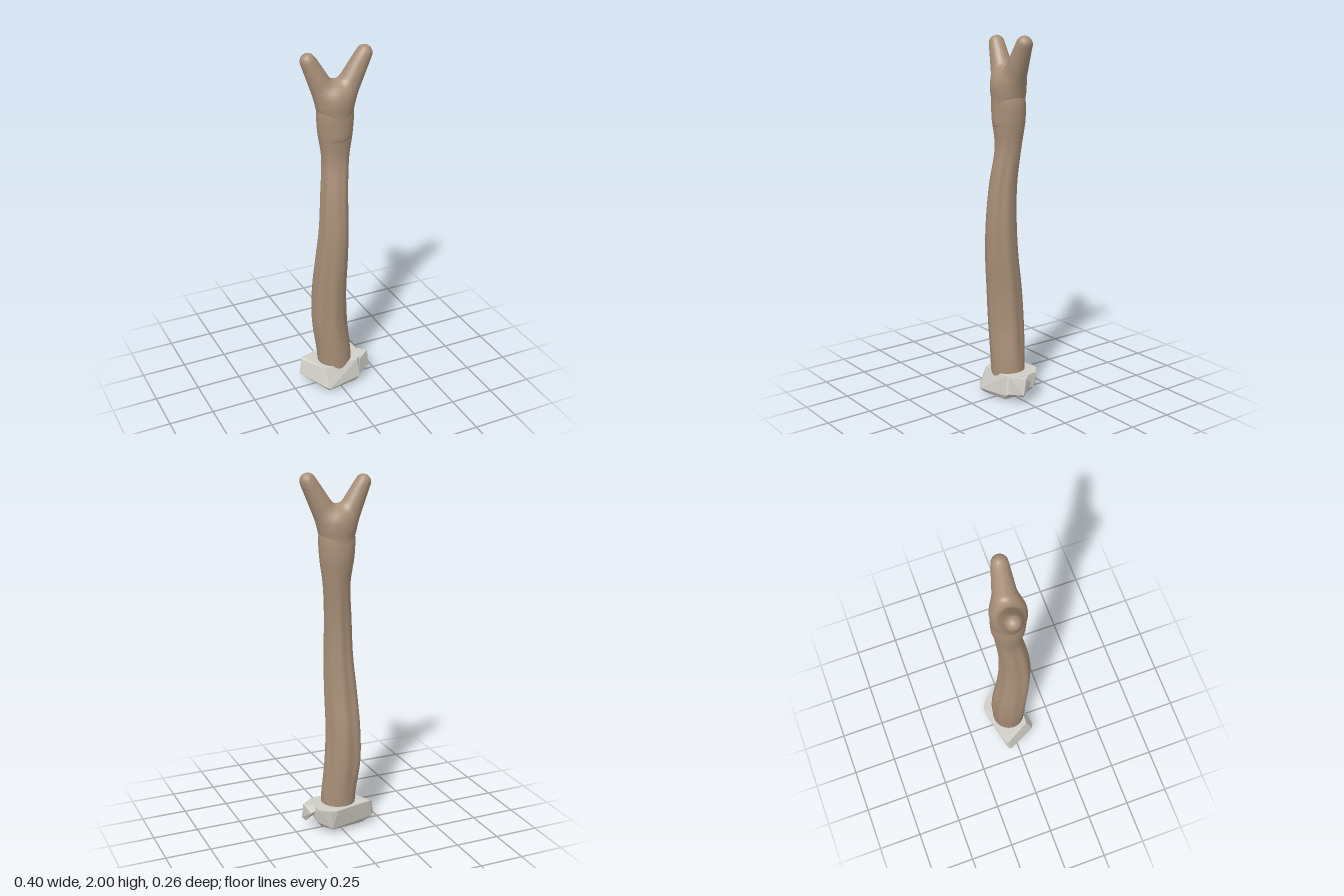
import * as THREE from 'three';
import { mergeVertices } from 'three/addons/utils/BufferGeometryUtils.js';
import { ConvexGeometry } from 'three/addons/geometries/ConvexGeometry.js';

const V = (x, y, z) => new THREE.Vector3(x, y, z);

// Trunk outline: y, min x, max x, min z, max z
const SECTIONS = [
  [0.08, -0.095, 0.092, -0.094, 0.092],
  [0.2, -0.105, 0.09, -0.095, 0.094],
  [0.4, -0.132, 0.07, -0.108, 0.094],
  [0.6, -0.132, 0.06, -0.1, 0.102],
  [0.8, -0.12, 0.06, -0.072, 0.115],
  [1.0, -0.1, 0.06, -0.055, 0.119],
  [1.2, -0.087, 0.061, -0.054, 0.102],
  [1.4, -0.071, 0.077, -0.069, 0.074],
  [1.56, -0.092, 0.097, -0.088, 0.086],
  [1.68, -0.095, 0.098, -0.082, 0.086],
  [1.74, -0.06, 0.06, -0.06, 0.06],
];

// Lofted trunk with long bark folds that twist slightly and fade at both ends
function trunkGeometry() {
  const centre = new THREE.CatmullRomCurve3(
    SECTIONS.map(([y, a, b, c, d]) => V((a + b) / 2, y, (c + d) / 2)), false, 'catmullrom', 0.5);
  const radius = new THREE.CatmullRomCurve3(
    SECTIONS.map(([y, a, b, c, d]) => V((b - a) / 2, y, (d - c) / 2)), false, 'catmullrom', 0.5);
  const rows = 80, cols = 72, pos = [], idx = [];
  for (let j = 0; j <= rows; j++) {
    const p = centre.getPoint(j / rows), r = radius.getPoint(j / rows);
    const fade = THREE.MathUtils.smoothstep(p.y, 0.12, 0.4) * (1 - THREE.MathUtils.smoothstep(p.y, 1.25, 1.55));
    for (let i = 0; i < cols; i++) {
      const a = i / cols * Math.PI * 2;
      const fold = Math.sin(5 * a + 1.6 * p.y) * 0.6 + Math.sin(8 * a - 1.1 * p.y + 1) * 0.4;
      const k = 1 + fade * 0.055 * (fold - 0.35);
      pos.push(p.x + r.x * k * Math.cos(a), p.y, p.z + r.z * k * Math.sin(a));
    }
  }
  for (let j = 0; j < rows; j++) for (let i = 0; i < cols; i++) {
    const a = j * cols + i, b = j * cols + (i + 1) % cols;
    idx.push(a, a + cols, b + cols, a, b + cols, b);
  }
  const g = new THREE.BufferGeometry();
  g.setAttribute('position', new THREE.Float32BufferAttribute(pos, 3));
  g.setIndex(idx);
  g.computeVertexNormals();
  return g;
}

// Distance to a tapered capsule
function capsule(p, a, b, ra, rb) {
  const ab = b.clone().sub(a), ap = p.clone().sub(a);
  const t = THREE.MathUtils.clamp(ap.dot(ab) / ab.lengthSq(), 0, 1);
  return ap.addScaledVector(ab, -t).length() - THREE.MathUtils.lerp(ra, rb, t);
}

function smoothMin(a, b, k) {
  const h = Math.max(k - Math.abs(a - b), 0) / k;
  return Math.min(a, b) - h * h * k / 4;
}

function headField(p) {
  const body = capsule(p, V(0.002, 1.55, 0), V(0.002, 1.735, 0.002), 0.088, 0.088);
  const right = capsule(p, V(-0.03, 1.72, -0.004), V(-0.135, 1.941, -0.025), 0.071, 0.042);
  const left = capsule(p, V(0.03, 1.72, 0.004), V(0.157, 1.957, 0.015), 0.071, 0.043);
  return smoothMin(smoothMin(right, left, 0.045), body, 0.04);
}

// Forked head: a sphere whose vertices are drawn in along rays to the blended fork
function forkGeometry() {
  let g = new THREE.SphereGeometry(1, 112, 96);
  g.deleteAttribute('uv');
  g.deleteAttribute('normal');
  g = mergeVertices(g, 1e-5);
  const origin = V(0.003, 1.77, 0), p = g.attributes.position, q = V(), dir = V();
  for (let i = 0; i < p.count; i++) {
    dir.fromBufferAttribute(p, i).normalize();
    let t = 0.5;
    for (let s = 0; s < 60; s++) {
      const d = headField(q.copy(origin).addScaledVector(dir, t));
      if (d < 0.0002) break;
      t -= d * 0.9;
    }
    q.copy(origin).addScaledVector(dir, t);
    p.setXYZ(i, q.x, q.y, q.z);
  }
  g.computeVertexNormals();
  return g;
}

// Rough stone foot
const BLOCK = [
  [-0.17, 0.148, -0.08], [0.05, 0.15, -0.133], [0.09, 0.15, -0.128], [0.145, 0.15, -0.085],
  [0.15, 0.152, 0.03], [0.1, 0.15, 0.085], [-0.1, 0.145, 0.082], [-0.182, 0.14, -0.065],
  [-0.2, 0.06, -0.05], [-0.185, 0.045, -0.065], [-0.118, 0.045, 0.112], [-0.088, 0.03, 0.13],
  [0.115, 0.045, 0.102], [0.135, 0.07, 0.075], [0.15, 0.07, -0.06], [0.08, 0.04, -0.122],
  [-0.13, 0.01, -0.055], [-0.085, 0.008, 0.11], [0.09, 0.014, 0.09], [0.11, 0.02, -0.03],
  [0.06, 0.015, -0.085], [-0.1, 0, 0.05],
];
const SHARD = [
  [0.197, 0.15, 0.025], [0.199, 0.062, 0.042], [0.18, 0.042, 0.03], [0.12, 0.15, 0.085],
  [0.12, 0.15, -0.06], [0.12, 0.05, 0.09], [0.172, 0.11, -0.03],
];

export function createModel() {
  const group = new THREE.Group();
  const wood = new THREE.MeshStandardMaterial({ color: 0xa88f78 });
  const stone = new THREE.MeshStandardMaterial({ color: 0xcfcdc6, flatShading: true });
  const add = (name, geometry, material) => {
    const mesh = new THREE.Mesh(geometry, material);
    mesh.name = name;
    group.add(mesh);
  };
  const hull = (points) => new ConvexGeometry(points.map((p) => V(...p)));
  add('trunk', trunkGeometry(), wood);
  add('forkedHead', forkGeometry(), wood);
  add('stoneBase', hull(BLOCK), stone);
  add('stoneShard', hull(SHARD), stone);
  return group;
}
